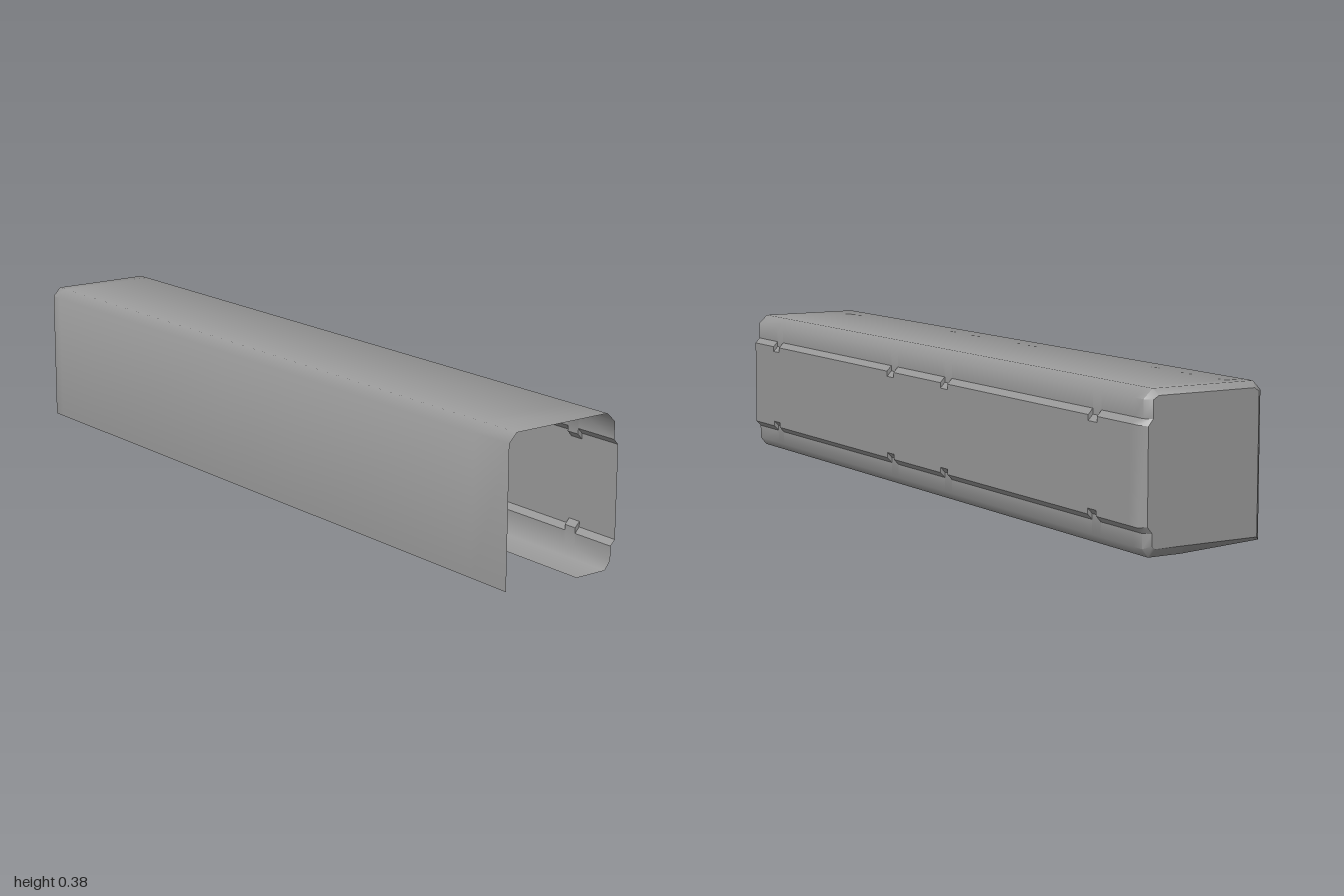
import * as THREE from 'three';
import { toCreasedNormals } from 'three/addons/utils/BufferGeometryUtils.js';

const BEVEL = 0.015;                        // bevel around the closed end
const TAB = 0.014;                          // how far each tab reaches into the raised back panel
const TABS = [-0.8, -0.115, 0.17, 0.86];    // tab centres along x
const TAB_HALF = 0.018;

// Cross-section as [z, y]: front wall, roof, stepped back, bottom lip
const section = (tab = 0) => [
  [0.17, 0.011], [0.17, 0.362], [0.148, 0.385], [-0.132, 0.385], [-0.157, 0.362],
  [-0.157, 0.318 - tab], [-0.17, 0.304 - tab], [-0.17, 0.071 + tab], [-0.157, 0.057 + tab],
  [-0.157, 0.021], [-0.14, 0], [-0.05, 0],
];

// The same cross-section shrunk for the end cap
const capSection = [
  [0.155, 0.021], [0.155, 0.361], [0.142, 0.37], [-0.125, 0.37], [-0.14, 0.361],
  [-0.14, 0.318], [-0.153, 0.302], [-0.153, 0.073], [-0.14, 0.057],
  [-0.14, 0.028], [-0.132, 0.021], [-0.05, 0.021],
];

// Geometry from triangles, smooth across the corner bevels only
function buildGeometry(addFaces) {
  const positions = [];
  const triangle = (a, b, c) => {
    // Skip slivers where neighbouring sections coincide
    if (new THREE.Triangle(a, b, c).getArea() < 1e-8) return;
    for (const p of [a, b, c]) positions.push(p.x, p.y, p.z);
  };
  addFaces(triangle);
  const geometry = new THREE.BufferGeometry();
  geometry.setAttribute('position', new THREE.Float32BufferAttribute(positions, 3));
  return toCreasedNormals(geometry, 1.0);
}

export function createModel() {
  const group = new THREE.Group();
  group.name = 'channelCover';
  const material = new THREE.MeshStandardMaterial({ color: 0x999999, side: THREE.DoubleSide });

  // Sections along x; doubled positions make the square sides of the tabs
  const plain = section();
  const stations = [[-1, capSection], [-1 + BEVEL, plain], [-0.95, plain]];
  for (const x of TABS) {
    const cut = section(TAB);
    stations.push([x - TAB_HALF, plain], [x - TAB_HALF, cut], [x + TAB_HALF, cut], [x + TAB_HALF, plain]);
  }
  stations.push([1, plain]);
  const rings = stations.map(([x, pts]) => pts.map(([z, y]) => new THREE.Vector3(x, y, z)));

  const addPart = (name, addFaces) => {
    const mesh = new THREE.Mesh(buildGeometry(addFaces), material);
    mesh.name = name;
    group.add(mesh);
  };

  // Skin between section points first..last, over the given run of stations
  const addStrip = (name, first, last, endStation = rings.length - 1) => addPart(name, (triangle) => {
    for (let i = 0; i < endStation; i++) {
      for (let j = first; j < last; j++) {
        const k = (j + 1) % plain.length;
        const a = rings[i][j], b = rings[i + 1][j], c = rings[i + 1][k], d = rings[i][k];
        triangle(a, b, c);
        triangle(a, c, d);
      }
    }
  });

  addStrip('frontAndRoof', 0, 5);
  addStrip('upperStep', 5, 6);
  addStrip('backPanel', 6, 7);
  addStrip('lowerStep', 7, 8);
  addStrip('bottomLip', 8, 11);
  addStrip('endFlange', 11, 12, 2);   // short strip closing the underside by the cap

  // Flat end cap
  addPart('endCap', (triangle) => {
    const outline = capSection.map(([z, y]) => new THREE.Vector2(z, y));
    for (const [a, b, c] of THREE.ShapeUtils.triangulateShape(outline, [])) {
      triangle(rings[0][a], rings[0][b], rings[0][c]);
    }
  });
  return group;
}
